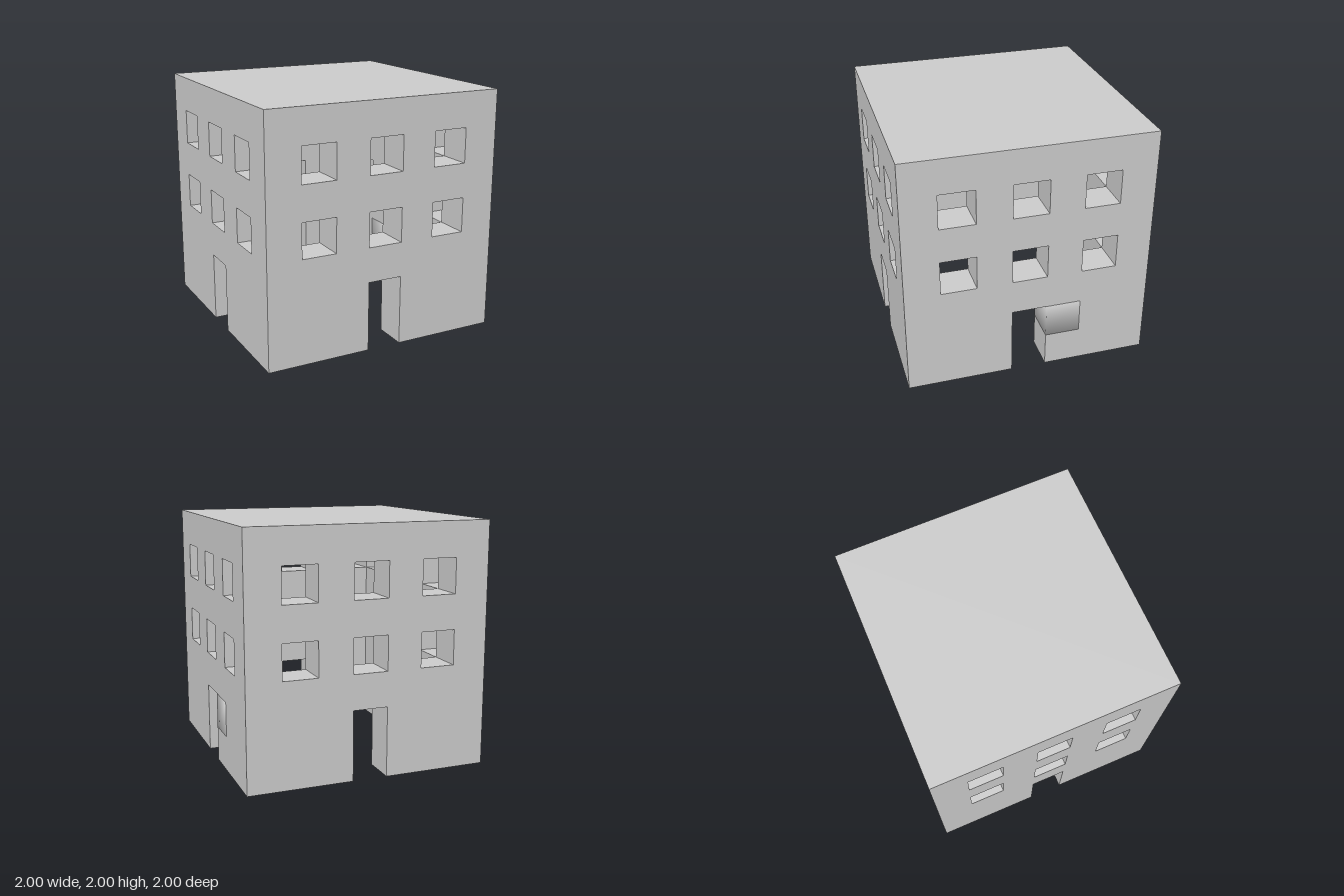
import * as THREE from 'three';
import { mergeVertices } from 'three/addons/utils/BufferGeometryUtils.js';

// The building sits on a 7 x 7 x 7 grid; U is one grid cell
const U = 2 / 7;

export function createModel() {
  const grey = new THREE.MeshStandardMaterial({ color: 0xcccccc });
  grey.name = 'plainGrey';
  const building = new THREE.Group();
  building.name = 'building';

  const add = (name, geometry, x = 0, y = 0, z = 0) => {
    const mesh = new THREE.Mesh(geometry, grey);
    mesh.name = name;
    mesh.position.set(x * U, y * U, z * U);
    building.add(mesh);
    return mesh;
  };
  const box = (w, h, d) => new THREE.BoxGeometry(w * U, h * U, d * U);
  const points = list => list.map(([x, y]) => new THREE.Vector2(x * U, y * U));

  // Wall between two corner posts: doorway, side windows and top windows are notches
  const wallGeometry = blockNotch => {
    const shape = new THREE.Shape(points([
      [-2.5, 0], [-0.5, 0], [-0.5, 2],
      ...(blockNotch ? [[1.5, 2], [1.5, 1], [0.5, 1]] : [[0.5, 2]]),
      [0.5, 0], [2.5, 0], [2.5, 3], [1.5, 3], [1.5, 4], [2.5, 4], [2.5, 5],
      [1.5, 5], [1.5, 6], [0.5, 6], [0.5, 5], [-0.5, 5], [-0.5, 6], [-1.5, 6],
      [-1.5, 5], [-2.5, 5], [-2.5, 4], [-1.5, 4], [-1.5, 3], [-2.5, 3],
    ]));
    // Middle window of the lower row
    shape.holes.push(new THREE.Path(points([[-0.5, 3], [-0.5, 4], [0.5, 4], [0.5, 3]])));
    const geometry = new THREE.ExtrudeGeometry(shape, { depth: U, bevelEnabled: false });
    return geometry.translate(0, 0, 2.5 * U);
  };

  // Four walls, turned around the centre
  ['frontWall', 'leftWall', 'backWall', 'rightWall'].forEach((name, i) => {
    add(name, wallGeometry(i === 1)).rotation.y = i * Math.PI / 2;
  });

  // Corner posts
  for (const x of [-3, 3]) {
    for (const z of [-3, 3]) add('cornerPost', box(1, 6, 1), x, 3, z);
  }

  // Flat roof slab
  add('roof', box(7, 1, 7), 0, 6.5, 0);

  // Smooth-shaded block set into the wall beside the doorway
  let block = box(1, 1, 1);
  block.deleteAttribute('normal');
  block.deleteAttribute('uv');
  block = mergeVertices(block);
  block.computeVertexNormals();
  add('doorsideBlock', block, 3, 1.5, -1);

  return building;
}
